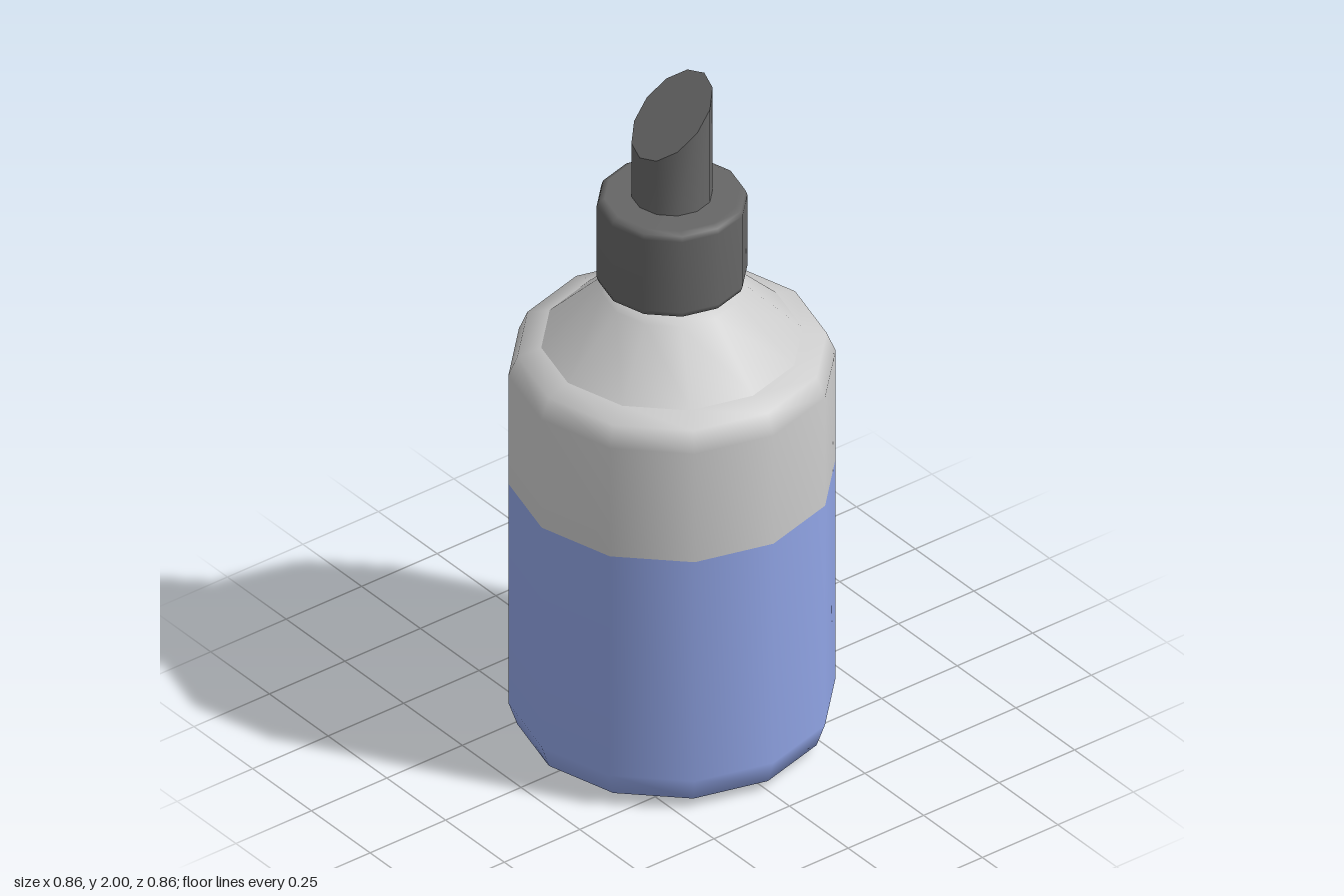
import * as THREE from 'three';
import { toCreasedNormals } from 'three/addons/utils/BufferGeometryUtils.js';

const SIDES = 12;
const grey = new THREE.MeshStandardMaterial({ color: 0xcccccc });
const blue = new THREE.MeshStandardMaterial({ color: 0x91a5e6 });
const dark = new THREE.MeshStandardMaterial({ color: 0x666666 });

// Turned part from a list of [radius, height], bottom to top
function turned(name, profile, material) {
  const points = profile.map(([r, y]) => new THREE.Vector2(r, y));
  const mesh = new THREE.Mesh(new THREE.LatheGeometry(points, SIDES), material);
  mesh.name = name;
  return mesh;
}

// Tube cut at a slant, high at the back and low at the front
function slantedNozzle(radius, bottom, low, high) {
  const middle = (low + high) / 2;
  const slope = (high - low) / (2 * radius);
  const geometry = new THREE.CylinderGeometry(radius, radius, 1, SIDES);
  const p = geometry.attributes.position;
  for (let i = 0; i < p.count; i++) {
    p.setY(i, p.getY(i) > 0 ? middle - slope * p.getZ(i) : bottom);
  }
  const mesh = new THREE.Mesh(toCreasedNormals(geometry, 0.7), dark);
  mesh.name = 'nozzle';
  return mesh;
}

export function createModel() {
  const bottle = new THREE.Group();
  bottle.name = 'bottle';

  // Body: coloured lower half, plain upper half with a rounded rim
  bottle.add(turned('lowerBody', [[0, 0], [0.345, 0.005], [0.408, 0.03], [0.432, 0.1], [0.432, 0.79]], blue));
  bottle.add(turned('upperBody', [[0.432, 0.79], [0.432, 1.13], [0.408, 1.188], [0.345, 1.21]], grey));

  // Sloping shoulder running into the neck
  bottle.add(turned('shoulder', [[0.345, 1.21], [0.185, 1.366], [0.165, 1.382], [0.135, 1.393]], grey));
  bottle.add(turned('neck', [[0.135, 1.393], [0.135, 1.42]], grey));

  // Cap with softened edges
  bottle.add(turned('cap', [
    [0, 1.4], [0.182, 1.4], [0.194, 1.405], [0.199, 1.42],
    [0.199, 1.642], [0.194, 1.656], [0.178, 1.664], [0, 1.664],
  ], dark));

  bottle.add(slantedNozzle(0.107, 1.65, 1.82, 2));
  return bottle;
}
